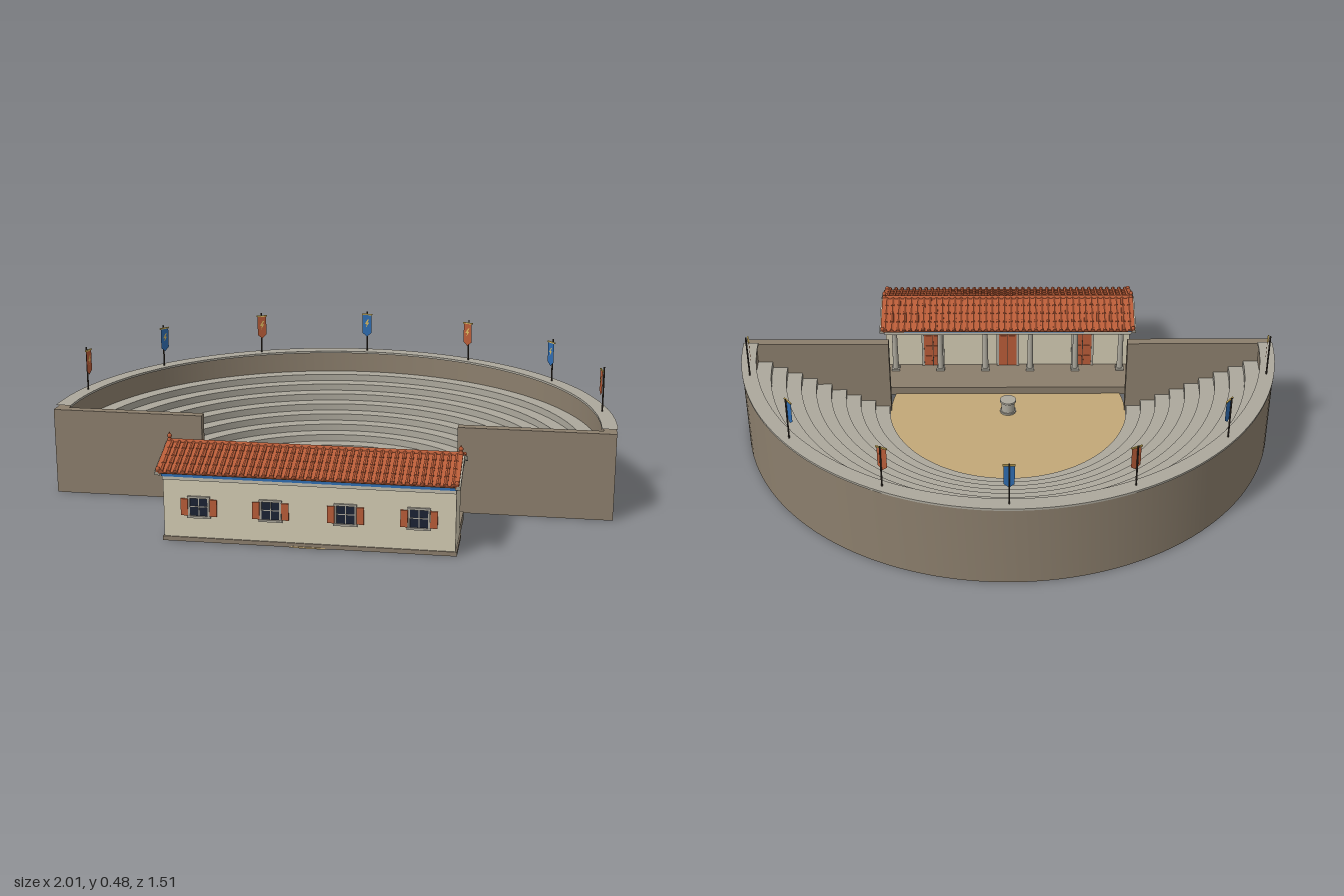
import * as THREE from 'three';
import { mergeGeometries, toCreasedNormals } from 'three/addons/utils/BufferGeometryUtils.js';

const mat = (name, color, side = THREE.FrontSide) => {
  const m = new THREE.MeshStandardMaterial({ color, side });
  m.name = name;
  return m;
};

export function createModel() {
  const M = {
    stone: mat('seat stone', 0xaca89c),
    masonry: mat('brown masonry', 0x8b7e6c),
    sand: mat('sand', 0xc2a878),
    plaster: mat('plaster', 0xd2cab2),
    trim: mat('pale trim', 0xbfbaaa),
    tile: mat('terracotta', 0xb85c38, THREE.DoubleSide),
    blue: mat('blue', 0x2f6cb0, THREE.DoubleSide),
    gold: mat('gold', 0xd9b860, THREE.DoubleSide),
    wood: mat('dark wood', 0x3c332b),
    glass: mat('dark pane', 0x1b2233),
  };
  const model = new THREE.Group();
  model.name = 'openAirTheatre';

  const add = (parent, name, geo, material, x = 0, y = 0, z = 0) => {
    const mesh = new THREE.Mesh(geo, material);
    mesh.name = name;
    mesh.position.set(x, y, z);
    parent.add(mesh);
    return mesh;
  };
  // box given by its bottom centre
  const box = (parent, name, m, w, h, d, x, y, z) =>
    add(parent, name, new THREE.BoxGeometry(w, h, d), m, x, y + h / 2, z);
  const cyl = (parent, name, m, rt, rb, h, x, y, z, n = 16) =>
    add(parent, name, new THREE.CylinderGeometry(rt, rb, h, n), m, x, y + h / 2, z);
  const group = (name, parent = model) => {
    const g = new THREE.Group();
    g.name = name;
    parent.add(g);
    return g;
  };
  const shape = (pts) => new THREE.Shape(pts.map(([x, y]) => new THREE.Vector2(x, y)));
  const boltGeo = new THREE.ShapeGeometry(shape([
    [0.003, 0.017], [-0.009, -0.002], [-0.001, -0.002], [-0.004, -0.017], [0.009, 0.004], [0.001, 0.004], [0.009, 0.017],
  ]));

  // --- seating bowl: half turns around the orchestra centre ---
  const CZ = 0.25;
  const halfTurn = (name, m, pts) => {
    const profile = [...pts, pts[0]].map(([r, y]) => new THREE.Vector2(r, y));
    const geo = new THREE.LatheGeometry(profile, 72, Math.PI / 2, Math.PI);
    return add(model, name, toCreasedNormals(geo, 0.5), m, 0, 0, CZ);
  };
  const TIERS = 9, R0 = 0.46, DEPTH = 0.055, RISE = 0.026;
  const steps = [[0.01, 0.002], [0.96, 0.002], [0.96, TIERS * RISE]];
  for (let i = TIERS - 1; i >= 0; i--) {
    steps.push([R0 + i * DEPTH, (i + 1) * RISE], [R0 + i * DEPTH, i ? i * RISE : 0.003]);
  }
  halfTurn('seatTiers', M.stone, steps);
  halfTurn('outerWall', M.masonry, [[0.955, 0], [1, 0], [1, 0.312], [0.955, 0.312]]);
  halfTurn('wallCoping', M.stone, [[0.948, 0.312], [1.003, 0.312], [1.003, 0.32], [0.948, 0.32]]);
  for (const s of [-1, 1]) box(model, 'endWall', M.masonry, 0.545, 0.313, 0.035, s * 0.7275, 0, 0.2675);

  cyl(model, 'orchestraFloor', M.sand, 0.458, 0.458, 0.005, 0, 0, CZ, 72);
  const altar = group('altar');
  cyl(altar, 'altarDrum', M.stone, 0.026, 0.026, 0.05, 0, 0.005, 0.245, 24);
  cyl(altar, 'altarTop', M.stone, 0.031, 0.031, 0.008, 0, 0.052, 0.245, 24);
  cyl(altar, 'altarBase', M.stone, 0.031, 0.031, 0.008, 0, 0.004, 0.245, 24);

  // --- banners round the rim ---
  const clothGeo = new THREE.ShapeGeometry(shape([
    [-0.018, 0.472], [-0.018, 0.395], [0, 0.38], [0.018, 0.395], [0.018, 0.472],
  ]));
  for (let i = 0; i < 7; i++) {
    const a = ((i + 0.5) * Math.PI) / 7;
    const b = group('banner');
    b.position.set(0.975 * Math.cos(a), 0, CZ - 0.975 * Math.sin(a));
    b.rotation.y = Math.atan2(-Math.cos(a), Math.sin(a));
    cyl(b, 'pole', M.wood, 0.003, 0.003, 0.165, 0, 0.318, 0, 8);
    box(b, 'crossbar', M.gold, 0.042, 0.005, 0.005, 0, 0.47, 0.008);
    add(b, 'cloth', clothGeo, i % 2 ? M.blue : M.tile, 0, 0, 0.009);
    add(b, 'emblem', boltGeo, M.gold, 0, 0.435, 0.011);
  }

  // --- stage and stage house ---
  const house = group('stageHouse');
  box(house, 'stagePlatform', M.masonry, 0.975, 0.034, 0.165, 0, 0.001, 0.4475);
  box(house, 'plinth', M.masonry, 0.985, 0.015, 0.178, 0, 0.001, 0.615);
  box(house, 'houseBody', M.plaster, 0.975, 0.218, 0.17, 0, 0.002, 0.615);
  box(house, 'architrave', M.trim, 0.975, 0.012, 0.245, 0, 0.218, 0.588);
  box(house, 'frieze', M.blue, 0.98, 0.012, 0.25, 0, 0.23, 0.588);
  box(house, 'cornice', M.trim, 0.99, 0.011, 0.27, 0, 0.242, 0.588);

  // columns on the stage
  for (let i = 0; i < 6; i++) {
    const c = group('column', house), x = -0.45 + i * 0.18, z = 0.497;
    box(c, 'columnBase', M.stone, 0.032, 0.01, 0.032, x, 0.034, z);
    cyl(c, 'columnShaft', M.stone, 0.01, 0.012, 0.16, x, 0.044, z);
    cyl(c, 'columnNeck', M.stone, 0.015, 0.01, 0.009, x, 0.202, z);
    box(c, 'columnCapital', M.stone, 0.034, 0.008, 0.034, x, 0.211, z);
  }

  // three stage doors
  for (const x of [-0.3, 0, 0.3]) {
    const d = group('stageDoor', house);
    for (const s of [-1, 1]) {
      box(d, 'doorJamb', M.stone, 0.009, 0.152, 0.012, x + s * 0.04, 0.035, 0.527);
      for (const y of [0.045, 0.093, 0.14]) box(d, 'doorPanel', M.tile, 0.024, 0.036, 0.004, x + s * 0.017, y, 0.525);
    }
    box(d, 'doorLeaf', M.tile, 0.072, 0.15, 0.006, x, 0.035, 0.528);
    box(d, 'doorSplit', M.wood, 0.003, 0.15, 0.004, x, 0.035, 0.525);
    box(d, 'doorLintel', M.stone, 0.1, 0.011, 0.015, x, 0.185, 0.526);
  }

  // four shuttered windows
  for (const x of [-0.367, -0.125, 0.125, 0.367]) {
    const w = group('window', house), z = 0.7;
    box(w, 'pane', M.glass, 0.062, 0.064, 0.004, x, 0.091, z);
    box(w, 'sill', M.stone, 0.08, 0.007, 0.016, x, 0.086, z);
    box(w, 'lintel', M.stone, 0.076, 0.007, 0.014, x, 0.155, z);
    box(w, 'mullion', M.stone, 0.003, 0.064, 0.007, x, 0.091, z);
    box(w, 'glazingBar', M.stone, 0.062, 0.003, 0.007, x, 0.124, z);
    for (const s of [-1, 1]) {
      box(w, 'windowJamb', M.stone, 0.006, 0.066, 0.012, x + s * 0.033, 0.09, z);
      box(w, 'shutter', M.tile, 0.024, 0.058, 0.012, x + s * 0.049, 0.094, z);
    }
  }

  // gable block, painted tympana and their emblems
  const gable = new THREE.ExtrudeGeometry(shape([[-0.145, 0], [0.145, 0], [0, 0.052]]),
    { depth: 0.97, bevelEnabled: false });
  gable.translate(0, 0, -0.485).rotateY(Math.PI / 2);
  add(house, 'gableBlock', gable, M.trim, 0, 0.253, 0.59);
  const tympanum = new THREE.ShapeGeometry(shape([[-0.112, 0], [0.112, 0], [0, 0.043]]));
  for (const s of [-1, 1]) {
    const p = group('pediment', house);
    p.position.set(s * 0.487, 0.256, 0.59);
    p.rotation.y = (s * Math.PI) / 2;
    add(p, 'tympanum', tympanum, M.blue);
    add(p, 'pedimentEmblem', boltGeo, M.gold, 0, 0.02, 0.002);
  }

  // tiled roof: one slope, used twice
  const SLOPE = 0.341, LEN = 0.166, COURSES = 4, RIBS = 40;
  const tiles = [];
  const step = LEN / COURSES;
  for (let c = 0; c < COURSES; c++) {
    const pan = new THREE.BoxGeometry(0.98, 0.006, step + 0.004);
    tiles.push(pan.rotateX(0.06).translate(0, 0.004, (c + 0.5) * step));
    for (let i = 0; i < RIBS; i++) {
      const rib = new THREE.CylinderGeometry(0.008, 0.0062, step + 0.003, 6);
      tiles.push(rib.rotateX(Math.PI / 2).translate((i - (RIBS - 1) / 2) * 0.0246, 0.008, (c + 0.5) * step));
    }
  }
  const tileGeo = toCreasedNormals(mergeGeometries(tiles), 0.5);
  for (const turn of [0, Math.PI]) {
    const slope = group('roofSlope', house);
    slope.rotation.order = 'YXZ';
    slope.rotation.set(SLOPE, turn, 0);
    slope.position.set(0, 0.308, 0.59);
    add(slope, 'roofTiles', tileGeo, M.tile);
    box(slope, 'roofDeck', M.trim, 0.98, 0.006, LEN - 0.004, 0, -0.006, LEN / 2 - 0.002);
    for (const s of [-1, 1]) {
      box(slope, 'rakingCornice', M.trim, 0.018, 0.014, LEN, s * 0.494, -0.01, LEN / 2);
      box(slope, 'rakeTile', M.tile, 0.014, 0.007, LEN, s * 0.491, 0.004, LEN / 2);
      add(slope, 'eaveOrnament', new THREE.SphereGeometry(0.008, 8, 6), M.tile, s * 0.491, 0.012, LEN - 0.006);
    }
  }
  const ridge = cyl(house, 'ridgeTile', M.tile, 0.009, 0.009, 0.985, 0, 0, 0.59, 10);
  ridge.rotation.z = Math.PI / 2;
  ridge.position.y = 0.314;
  for (const s of [-1, 1]) {
    const f = group('ridgeFinial', house);
    cyl(f, 'finialFoot', M.tile, 0.004, 0.009, 0.014, s * 0.49, 0.317, 0.59, 8);
    add(f, 'finialBud', new THREE.SphereGeometry(0.008, 10, 8), M.tile, s * 0.49, 0.333, 0.59);
    cyl(f, 'finialTip', M.tile, 0, 0.005, 0.009, s * 0.49, 0.338, 0.59, 8);
  }
  return model;
}
